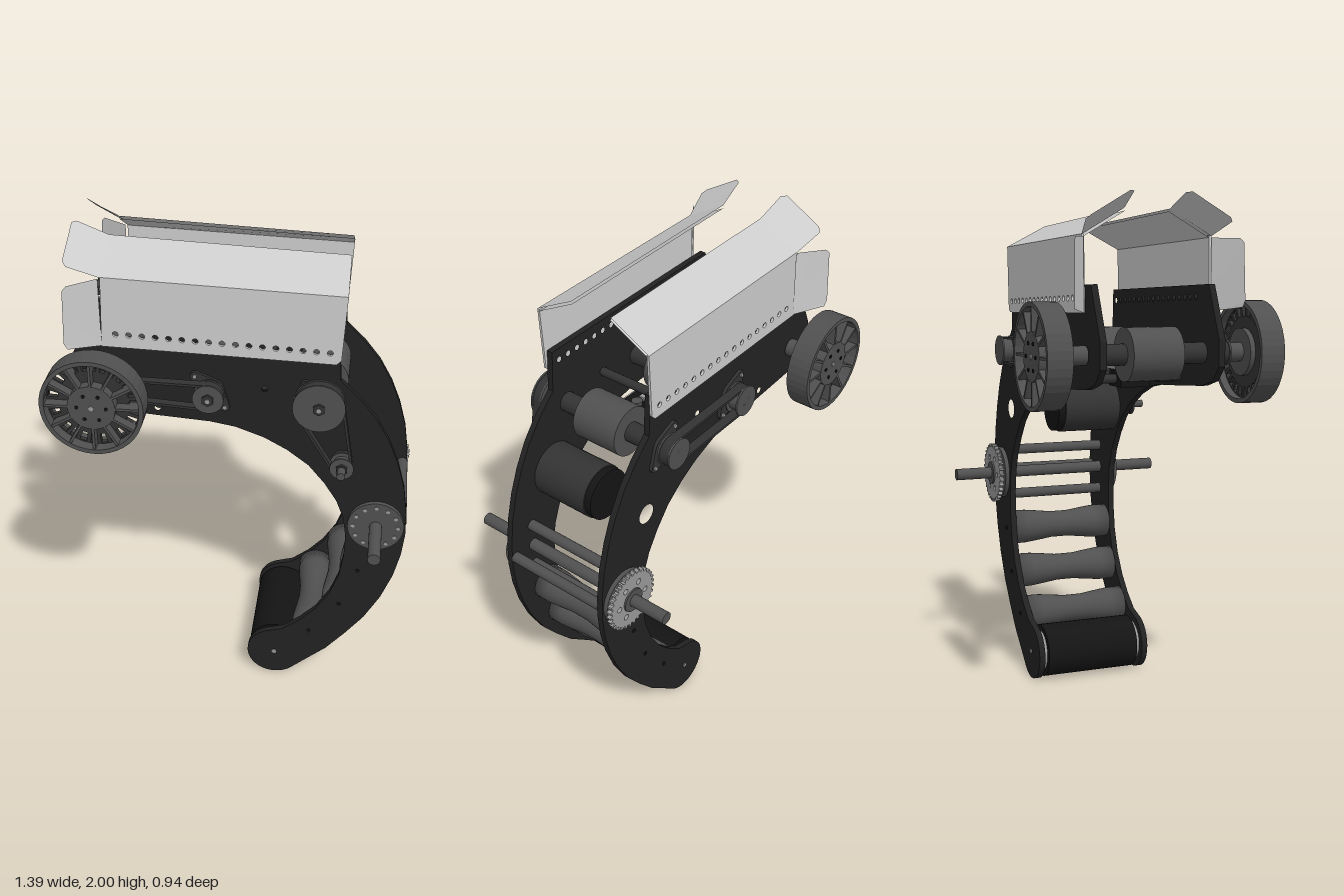
import * as THREE from 'three';

const mat = (color, extra = {}) => new THREE.MeshStandardMaterial({ color, ...extra });
const BLACK = mat(0x141414), PLATE = mat(0x222222), DARK = mat(0x333333), GREY = mat(0x505050), STEEL = mat(0x999999);
const SHEET = mat(0xcccccc, { side: THREE.DoubleSide });
const SHIFT = -0.007; // the whole frame sits slightly off centre in z

// Main axes in the side plane
const WHEEL = [-0.505, 1.415], MID = [-0.095, 1.4], REAR = [0.32, 1.39], MOTOR = [0.415, 1.13], PIVOT = [0.56, 0.83], NOSE = [0.165, 0.115];

function add(parent, name, geo, material) {
  const m = new THREE.Mesh(geo, material);
  m.name = name;
  parent.add(m);
  return m;
}
// Cylinder along z between z0 and z1
function rod(parent, name, [x, y], r, z0, z1, material, sides = 32) {
  const g = new THREE.CylinderGeometry(r, r, Math.abs(z1 - z0), sides).rotateX(Math.PI / 2);
  return add(parent, name, g.translate(x, y, (z0 + z1) / 2), material);
}
const circle = (x, y, r) => new THREE.Path().absarc(x, y, r, 0, Math.PI * 2, true);
function slab(parent, name, shape, z0, z1, material) {
  const g = new THREE.ExtrudeGeometry(shape, { depth: z1 - z0, bevelEnabled: false, curveSegments: 20 });
  return add(parent, name, g.translate(0, 0, z0), material);
}
const poly = pts => new THREE.Shape(pts.map(p => new THREE.Vector2(...p)));
const around = ([x, y], r, n, i, a0 = 0) => {
  const a = a0 + i / n * Math.PI * 2;
  return [x + r * Math.cos(a), y + r * Math.sin(a)];
};
// Row of rivet holes shared by guards and side plates
const rivets = () => Array.from({ length: 17 }, (_, i) => circle(-0.445 + i * 0.0497, 1.621 - i * 0.0017, 0.011));

// Outline around two circles, as followed by a belt
function hull([x0, y0], r0, [x1, y1], r1) {
  const a = Math.atan2(y1 - y0, x1 - x0), d = Math.acos((r0 - r1) / Math.hypot(x1 - x0, y1 - y0));
  const s = new THREE.Shape();
  s.absarc(x0, y0, r0, a + d, a - d + Math.PI * 2, false);
  s.absarc(x1, y1, r1, a - d, a + d, false);
  return s;
}
function belt(parent, name, p, rp, q, rq, z0, z1) {
  const g = new THREE.Group();
  g.name = name;
  parent.add(g);
  const s = hull(p, rp, q, rq);
  s.holes.push(new THREE.Path(hull(p, rp - 0.01, q, rq - 0.01).getPoints(20).reverse()));
  slab(g, 'beltLoop', s, z0 + 0.008, z1 - 0.008, DARK);
  for (const [c, r] of [[p, rp], [q, rq]]) {
    rod(g, 'pulley', c, r - 0.01, z0, z1, GREY);
    rod(g, 'pulleyFlange', c, r + 0.004, z0, z0 + 0.007, GREY);
    rod(g, 'pulleyFlange', c, r + 0.004, z1 - 0.007, z1, GREY);
    rod(g, 'pulleyHub', c, 0.024, z0, z1 + 0.01, DARK, 6);
    rod(g, 'pulleyBolt', c, 0.009, z1, z1 + 0.014, STEEL, 12);
  }
}

// Curved side plate with its long hooked arm
function sidePlate(parent, z0, z1) {
  const s = poly([[-0.55, 1.67], [0.385, 1.64], [0.394, 1.475], [0.47, 1.4], [0.537, 1.315], [0.59, 1.22], [0.63, 1.12],
    [0.66, 1.01], [0.677, 0.89], [0.68, 0.79], [0.67, 0.69], [0.645, 0.58], [0.6, 0.46], [0.537, 0.345], [0.465, 0.25],
    [0.385, 0.155], [0.31, 0.09]]);
  s.absarc(...NOSE, 0.115, -0.88, 1.9, true);
  for (const p of [[0.2, 0.245], [0.27, 0.3], [0.335, 0.37], [0.39, 0.46], [0.425, 0.56], [0.44, 0.66], [0.443, 0.76],
    [0.43, 0.85], [0.4, 0.93], [0.35, 1.01], [0.285, 1.09], [0.2, 1.155], [0.11, 1.205], [0, 1.245], [-0.1, 1.262],
    [-0.3, 1.275], [-0.5, 1.29], [-0.59, 1.315], [-0.64, 1.37], [-0.64, 1.47]]) s.lineTo(...p);
  s.closePath();
  s.holes.push(...rivets(), circle(0.11, 1.42, 0.012), circle(-0.3, 1.31, 0.012), circle(...MOTOR, 0.04));
  slab(parent, 'sidePlate', s, z0, z1, PLATE);
}

// Spoked wheel with a ring of slots
function wheel(parent) {
  const g = new THREE.Group();
  g.name = 'wheel';
  const O = [0, 0], tyre = new THREE.Shape().absarc(0, 0, 0.195, 0, Math.PI * 2);
  tyre.holes.push(circle(0, 0, 0.178));
  slab(g, 'tyre', tyre, 0, 0.095, GREY);
  const disc = new THREE.Shape().absarc(0, 0, 0.18, 0, Math.PI * 2), n = 26;
  for (let i = 0; i < n; i++) {
    disc.holes.push(new THREE.Path([around(O, 0.135, n, i), around(O, 0.135, n, i + 0.55),
      around(O, 0.173, n, i + 0.6), around(O, 0.173, n, i - 0.05)].map(p => new THREE.Vector2(...p))));
  }
  slab(g, 'wheelDisc', disc, 0.03, 0.05, DARK);
  for (let i = 0; i < 12; i++) {
    const rib = new THREE.BoxGeometry(0.105, 0.01, 0.055).translate(0.13, 0, 0.062);
    add(g, 'spoke', rib.rotateZ(i * Math.PI / 6), GREY);
  }
  rod(g, 'wheelHub', O, 0.09, 0.01, 0.09, GREY);
  rod(g, 'wheelAxle', O, 0.036, -0.115, 0.09, GREY);
  rod(g, 'axleCap', O, 0.01, 0.09, 0.094, STEEL, 12);
  for (let i = 0; i < 6; i++) rod(g, 'hubBolt', around(O, 0.055, 6, i), 0.007, 0.09, 0.094, BLACK, 10);
  g.position.set(...WHEEL, 0.365);
  parent.add(g);
}

// Flat sheet panel from its corners
function panel(parent, name, corners) {
  const g = new THREE.BufferGeometry();
  g.setAttribute('position', new THREE.Float32BufferAttribute(corners.flat(), 3));
  const idx = [];
  for (let i = 1; i < corners.length - 1; i++) idx.push(0, i, i + 1);
  g.setIndex(idx);
  g.computeVertexNormals();
  add(parent, name, g, SHEET);
}
function guard(parent) {
  const g = new THREE.Group();
  g.name = 'guard';
  const s = poly([[-0.5, 1.568], [0.375, 1.547], [0.393, 1.565], [0.407, 1.822], [-0.49, 1.848]]);
  s.holes.push(...rivets());
  slab(g, 'guardSide', s, 0.248, 0.258, SHEET);
  panel(g, 'guardTop', [[-0.49, 1.848, 0.258], [0.407, 1.822, 0.258], [0.407, 1.91, 0.09], [-0.485, 1.943, 0.09]]);
  panel(g, 'guardTopInner', [[-0.49, 1.838, 0.253], [0.407, 1.812, 0.253], [0.407, 1.9, 0.086], [-0.485, 1.933, 0.086]]);
  panel(g, 'guardSideFlare', [[-0.5, 1.568, 0.253], [-0.5, 1.84, 0.253], [-0.6, 1.836, 0.322], [-0.614, 1.82, 0.33],
    [-0.622, 1.61, 0.334], [-0.61, 1.585, 0.33]]);
  panel(g, 'guardTopFlare', [[-0.49, 1.846, 0.258], [-0.485, 1.943, 0.09], [-0.6, 1.995, 0.1], [-0.615, 1.997, 0.12],
    [-0.62, 1.91, 0.27], [-0.605, 1.895, 0.285]]);
  parent.add(g);
}

// Waisted roller across the arm
function waistedRoller(parent, [x, y]) {
  const pts = [[0, -0.22], [0.074, -0.22], [0.073, -0.16], [0.066, -0.1], [0.058, -0.04], [0.058, 0.04],
    [0.066, 0.1], [0.073, 0.16], [0.074, 0.22], [0, 0.22]].map(p => new THREE.Vector2(...p));
  add(parent, 'waistedRoller', new THREE.LatheGeometry(pts, 32).rotateX(Math.PI / 2).translate(x, y, 0), GREY);
  rod(parent, 'rollerBolt', [x, y], 0.009, -0.248, 0.248, BLACK, 12);
}

export function createModel() {
  const model = new THREE.Group();
  model.name = 'hookedRollerArm';
  model.position.z = SHIFT;

  // Mirrored halves
  sidePlate(model, 0.22, 0.245);
  sidePlate(model, -0.245, -0.22);
  for (const side of [1, -1]) {
    const half = new THREE.Group();
    half.name = side > 0 ? 'leftHalf' : 'rightHalf';
    half.scale.z = side;
    guard(half);
    wheel(half);
    // Diamond bearing flanges
    for (const [x, y] of [MID, REAR]) {
      const a = 2.3, ends = [0, Math.PI].map(t => [x + 0.085 * Math.cos(a + t), y + 0.085 * Math.sin(a + t)]);
      slab(half, 'bearingFlange', hull([x, y], 0.055, ends[0], 0.018), 0.245, 0.258, DARK);
      slab(half, 'bearingFlange', hull([x, y], 0.055, ends[1], 0.018), 0.245, 0.258, DARK);
      ends.forEach(e => rod(half, 'flangeBolt', e, 0.009, 0.25, 0.264, STEEL, 6));
    }
    rod(half, 'noseCap', NOSE, 0.085, 0.2, 0.22, STEEL);
    rod(half, 'noseBolt', NOSE, 0.01, 0.24, 0.249, STEEL, 12);
    model.add(half);
  }

  // Drive rollers between the upper plates
  for (const c of [WHEEL, MID, REAR]) {
    rod(model, 'driveRoller', c, 0.1, -0.1, 0.1, GREY, 40);
    rod(model, 'rollerShaft', c, 0.04, -0.22, 0.22, DARK, 24);
    rod(model, 'hexShaft', c, 0.018, -0.3, 0.3, STEEL, 6);
  }
  for (const c of [[-0.3, 1.31], [0.11, 1.42]]) rod(model, 'crossBar', c, 0.018, -0.22, 0.22, DARK, 16);

  // Sensor boxes between the rollers
  for (const x of [-0.3, 0.11]) {
    const box = (name, w, h, y, m) => add(model, name, new THREE.BoxGeometry(w, h, w).translate(x, y, 0.01), m);
    box('sensorFrame', 0.145, 0.025, 1.36, STEEL);
    box('sensorBody', 0.12, 0.1, 1.33, BLACK);
    for (const s of [-1, 1]) add(model, 'sensorScrew',
      new THREE.CylinderGeometry(0.022, 0.022, 0.02, 16).translate(x + s * 0.045, 1.385, 0.01), GREY);
    add(model, 'sensorEye', new THREE.BoxGeometry(0.035, 0.02, 0.025).translate(x, 1.385, 0.01), STEEL);
  }

  // Motor with its output shaft
  rod(model, 'motor', MOTOR, 0.11, -0.03, 0.22, DARK);
  rod(model, 'motorCap', MOTOR, 0.105, -0.06, -0.03, BLACK);
  rod(model, 'motorShaft', MOTOR, 0.016, 0.22, 0.37, GREY, 16);

  // Belt drives
  belt(model, 'frontBelt', WHEEL, 0.045, MID, 0.055, 0.268, 0.318);
  belt(model, 'motorBelt', REAR, 0.095, MOTOR, 0.042, 0.268, 0.318);
  belt(model, 'rearBelt', REAR, 0.058, MID, 0.058, -0.325, -0.27);

  // Pivot shaft, hub, spacers and sprocket
  rod(model, 'pivotShaft', PIVOT, 0.025, -0.457, 0.475, GREY, 24);
  for (const z of [0.245, -0.263]) rod(model, 'pivotHub', PIVOT, 0.112, z, z + 0.018, GREY);
  for (let i = 0; i < 12; i++) rod(model, 'hubBolt', around(PIVOT, 0.09, 12, i), 0.008, 0.26, 0.266, STEEL, 10);
  for (let i = 0; i < 3; i++) rod(model, 'spacer', around(PIVOT, 0.1, 4, i - 1), 0.022, -0.22, 0.22, GREY, 20);
  const teeth = [];
  for (let i = 0; i < 32; i++) for (const [r, t] of [[0.117, 0], [0.117, 0.35], [0.13, 0.55], [0.13, 0.8]])
    teeth.push(around(PIVOT, r, 32, i + t));
  const sprocket = poly(teeth);
  for (let i = 0; i < 6; i++) sprocket.holes.push(circle(...around(PIVOT, 0.075, 6, i), 0.012));
  slab(model, 'sprocket', sprocket, -0.293, -0.275, STEEL);
  rod(model, 'sprocketHub', PIVOT, 0.05, -0.3, -0.25, GREY);

  // Rollers along the arm and the drum at its tip
  for (const c of [[0.5, 0.588], [0.432, 0.405], [0.31, 0.245]]) waistedRoller(model, c);
  rod(model, 'noseDrum', NOSE, 0.11, -0.2, 0.2, BLACK, 40);

  const root = new THREE.Group();
  root.name = 'model';
  root.add(model);
  return root;
}
